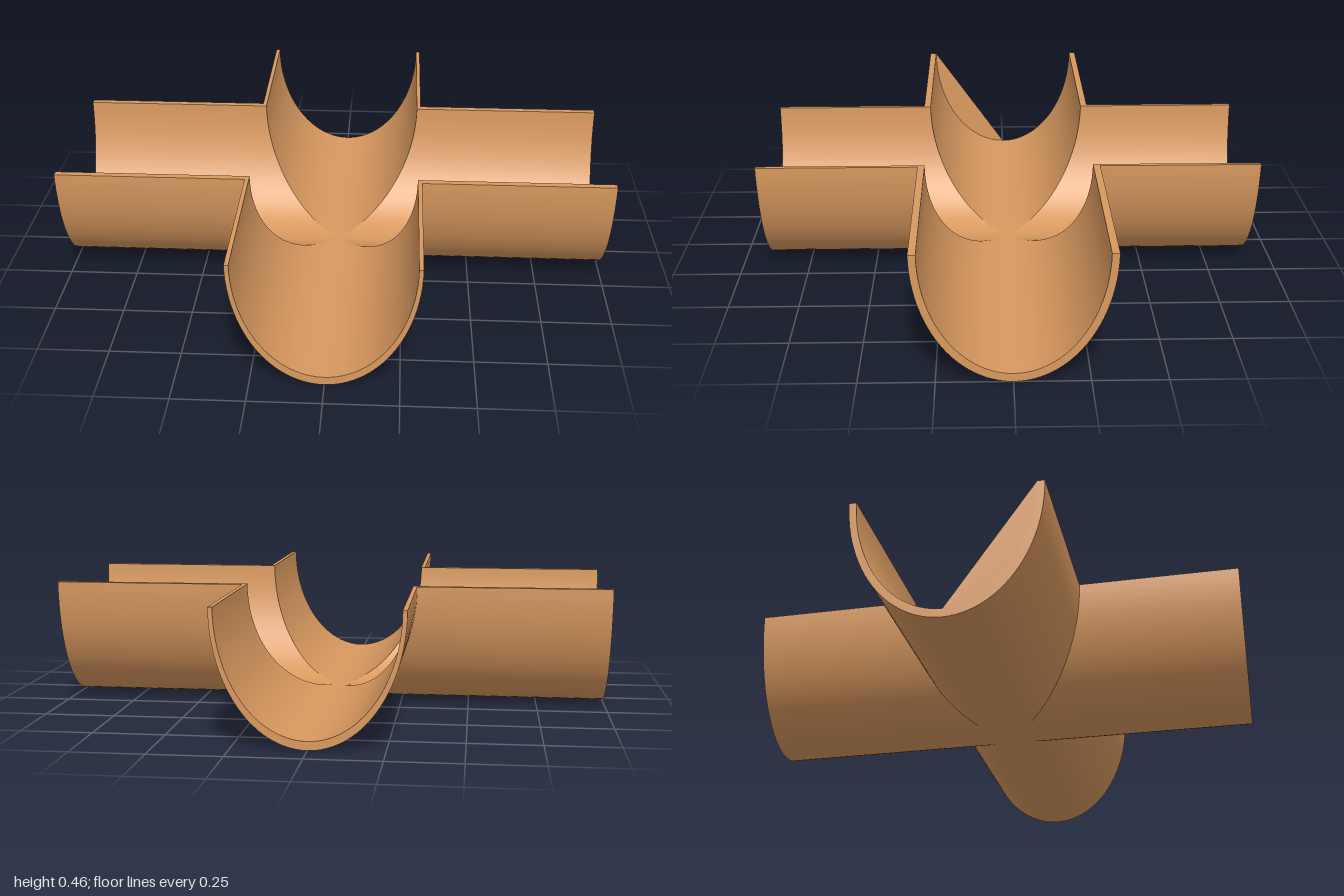
import * as THREE from 'three';

const HEIGHT = 0.455, FLOOR = 0.03, INNER = 0.3;
const SEGMENTS = 48;

// Points on the half-elliptical trough section, t from -PI/2 to PI/2
const outer = (w, t, x) => [x, HEIGHT - HEIGHT * Math.cos(t), w * Math.sin(t)];
const inner = (t, x) => [x, HEIGHT - (HEIGHT - FLOOR) * Math.cos(t), INNER * Math.sin(t)];

// Ruled surface between the curves p(u) and q(u), u from 0 to 1
function ruled(p, q, n) {
  const positions = [], index = [];
  for (let i = 0; i <= n; i++) {
    positions.push(...p(i / n), ...q(i / n));
    if (i < n) {
      const a = 2 * i;
      index.push(a, a + 2, a + 3, a, a + 3, a + 1);
    }
  }
  const geometry = new THREE.BufferGeometry();
  geometry.setAttribute('position', new THREE.Float32BufferAttribute(positions, 3));
  geometry.setIndex(index);
  geometry.computeVertexNormals();
  return geometry;
}

// One arm along +x, mitred at the centre against an arm of half width "cross"
function createArm(name, length, width, cross, material) {
  const arm = new THREE.Group();
  arm.name = name;
  const add = (part, p, q, n) => {
    const mesh = new THREE.Mesh(ruled(p, q, n), material);
    mesh.name = part;
    arm.add(mesh);
  };
  const angle = (u) => (u - 0.5) * Math.PI;
  const outerEnd = (u) => outer(width, angle(u), length);
  const outerMitre = (u) => outer(width, angle(u), cross * Math.abs(Math.sin(angle(u))));
  const innerEnd = (u) => inner(angle(u), length);
  const innerMitre = (u) => inner(angle(u), INNER * Math.abs(Math.sin(angle(u))));

  add('outerWall', outerEnd, outerMitre, SEGMENTS);
  add('innerWall', innerMitre, innerEnd, SEGMENTS);
  add('endRim', innerEnd, outerEnd, SEGMENTS);

  // Flat top edges on both sides
  const lerp = (a, b, u) => a + (b - a) * u;
  const outerEdge = (s) => (u) => [lerp(cross, length, u), HEIGHT, s * width];
  const innerEdge = (s) => (u) => [lerp(INNER, length, u), HEIGHT, s * INNER];
  add('topEdge', outerEdge(1), innerEdge(1), 1);
  add('topEdge', innerEdge(-1), outerEdge(-1), 1);
  return arm;
}

export function createModel() {
  const model = new THREE.Group();
  model.name = 'crossTrough';
  const material = new THREE.MeshStandardMaterial({ color: 0xd9995f, side: THREE.DoubleSide });

  // Four arms, the pair along x slightly longer and wider
  const names = ['leftArm', 'backArm', 'rightArm', 'frontArm'];
  names.forEach((name, i) => {
    const alongX = i % 2 === 0;
    const arm = alongX
      ? createArm(name, 1, 0.325, 0.315, material)
      : createArm(name, 0.9, 0.315, 0.325, material);
    arm.rotation.y = i * Math.PI / 2;
    model.add(arm);
  });

  // Thin web across the front half of the right arm's mouth, cut along a chord
  const points = [];
  for (let i = 0; i <= SEGMENTS / 2; i++) {
    const [, y, z] = inner(i / SEGMENTS * Math.PI, 0);
    points.push(new THREE.Vector2(z, y));
  }
  const web = new THREE.Mesh(new THREE.ShapeGeometry(new THREE.Shape(points)), material);
  web.name = 'endWeb';
  web.rotation.y = -Math.PI / 2;
  web.position.x = -1;
  model.add(web);

  return model;
}
